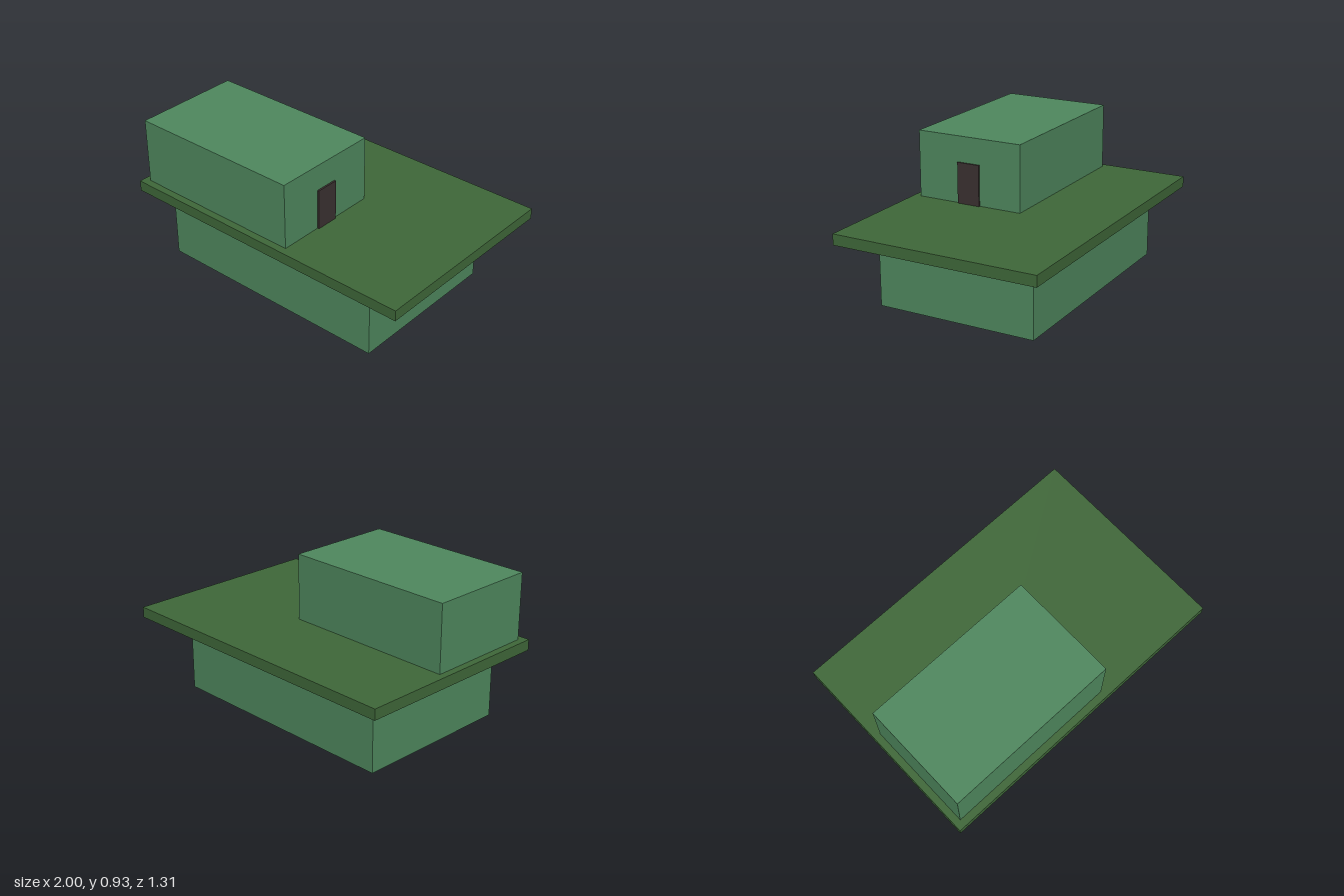
import * as THREE from 'three';

// Box spanning the given [min, max] range on each axis
function block(name, color, [x0, x1], [y0, y1], [z0, z1]) {
  const mesh = new THREE.Mesh(
    new THREE.BoxGeometry(x1 - x0, y1 - y0, z1 - z0),
    new THREE.MeshStandardMaterial({ color })
  );
  mesh.position.set((x0 + x1) / 2, (y0 + y1) / 2, (z0 + z1) / 2);
  mesh.name = name;
  return mesh;
}

export function createModel() {
  const house = new THREE.Group();
  house.name = 'house';
  const wallGreen = 0x4f885e, slabGreen = 0x3f6839, doorBrown = 0x3b3131;

  house.add(
    // Ground floor, with a narrow gap below the slab
    block('lowerStorey', wallGreen, [-0.832, 0.729], [0, 0.43], [-0.488, 0.532]),
    // Wide overhanging terrace
    block('terraceSlab', slabGreen, [-1, 1], [0.443, 0.511], [-0.653, 0.653]),
    // Smaller storey set to the front corner of the terrace
    block('upperStorey', wallGreen, [-0.956, 0.173], [0.511, 0.93], [-0.092, 0.607]),
    // Thin door on the side wall, opening onto the terrace
    block('door', doorBrown, [0.171, 0.184], [0.511, 0.768], [0.184, 0.332])
  );
  return house;
}
